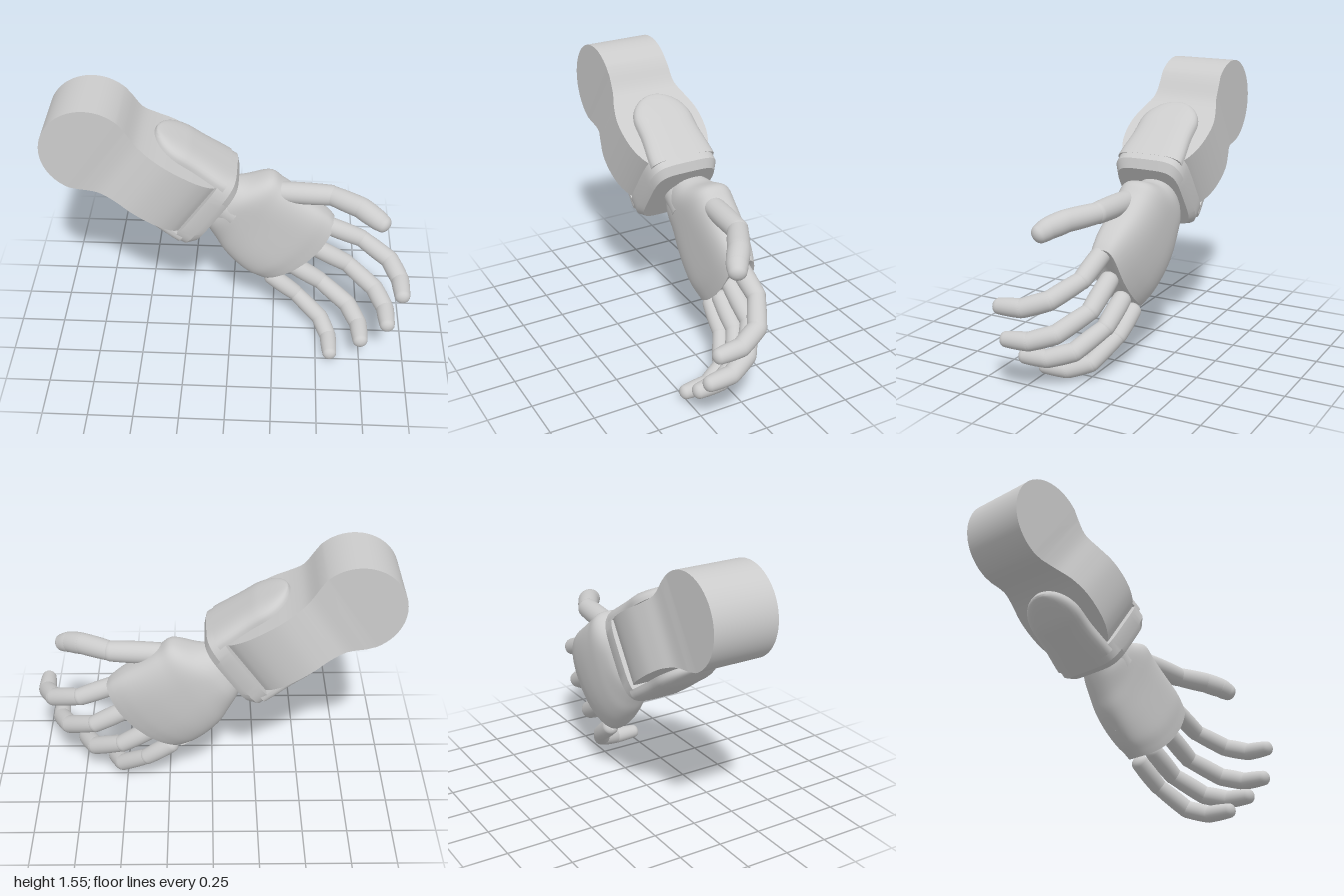
import * as THREE from 'three';
import { toCreasedNormals } from 'three/addons/utils/BufferGeometryUtils.js';

const V = (x, y, z) => new THREE.Vector3(x, y, z);

// Smoothly resample rows of numbers, column by column
function resample(rows, n) {
  const curves = rows[0].map((_, c) =>
    new THREE.SplineCurve(rows.map((r, i) => new THREE.Vector2(i, r[c]))));
  return Array.from({ length: n + 1 }, (_, i) => curves.map((k) => k.getPoint(i / n).y));
}

// Skin closed rings laid along +x and cap both ends
function loft(rings, crease) {
  const m = rings[0].length, pos = [], idx = [];
  rings.forEach((r) => r.forEach((p) => pos.push(p.x, p.y, p.z)));
  for (let i = 0; i < rings.length - 1; i++) {
    for (let j = 0; j < m; j++) {
      const a = i * m + j, b = i * m + (j + 1) % m;
      idx.push(a, b, a + m, b, b + m, a + m);
    }
  }
  [0, rings.length - 1].forEach((r, end) => {
    const c = rings[r].reduce((s, p) => s.add(p), V(0, 0, 0)).divideScalar(m);
    const k = pos.length / 3;
    pos.push(c.x, c.y, c.z);
    for (let j = 0; j < m; j++) {
      const a = r * m + j, b = r * m + (j + 1) % m;
      idx.push(k, end ? a : b, end ? b : a);
    }
  });
  const g = new THREE.BufferGeometry();
  g.setAttribute('position', new THREE.Float32BufferAttribute(pos, 3));
  g.setIndex(idx);
  return toCreasedNormals(g, crease);
}

// Rectangular ring: low and high y, middle and half depth in z
const rectRing = (u, lo, hi, zc, h) =>
  [V(u, hi, zc - h), V(u, hi, zc + h), V(u, lo, zc + h), V(u, lo, zc - h)];

// Ring with a flat inner face and a crowned outer face, on either side of y = mid
function crownRing(u, mid, side, inner, outer, zc, h) {
  const ring = [];
  for (let i = 0; i <= 16; i++) {
    const s = -Math.cos((i / 16) * Math.PI);
    const crown = 0.25 + 0.75 * Math.sqrt(1 - s ** 4);
    ring.push(V(u, mid + side * (inner + (outer - inner) * crown), zc + s * h));
  }
  ring.push(V(u, mid + side * inner, zc + h), V(u, mid + side * inner, zc - h));
  return side > 0 ? ring : ring.reverse();
}

// Rounded ring (superellipse) between y and z limits
function roundRing(u, lo, hi, back, front, power, n = 56) {
  return Array.from({ length: n }, (_, i) => {
    const a = (i / n) * Math.PI * 2, c = Math.cos(a), s = Math.sin(a);
    const f = (q) => Math.sign(q) * Math.pow(Math.abs(q), 2 / power);
    return V(u, (lo + hi) / 2 + f(c) * (hi - lo) / 2, (back + front) / 2 + f(s) * (front - back) / 2);
  });
}

export function createModel() {
  const model = new THREE.Group();
  const mat = new THREE.MeshStandardMaterial({ color: 0xcccccc });
  const add = (parent, name, geo) => {
    const mesh = new THREE.Mesh(geo, mat);
    mesh.name = name;
    parent.add(mesh);
    return mesh;
  };

  // Arm frame: origin at the elbow drum, x runs along the arm
  const arm = new THREE.Group();
  arm.name = 'arm';
  arm.position.set(-0.75, 1.31, 0);
  arm.rotation.z = -0.607;
  model.add(arm);

  // Forearm: round drum that necks in, then swells sideways
  const foreRings = [];
  for (let i = 0; i <= 24; i++) {
    const a = Math.PI - (i / 24) * (Math.PI - 1.4);
    const v = Math.max(0.002, 0.25 * Math.sin(a));
    foreRings.push(rectRing(0.25 * Math.cos(a), -v, v, -0.062, 0.185));
  }
  resample([
    [0.09, -0.227, 0.23, 0.186], [0.18, -0.18, 0.195, 0.193], [0.27, -0.155, 0.19, 0.222],
    [0.37, -0.15, 0.197, 0.246], [0.47, -0.15, 0.203, 0.248], [0.56, -0.15, 0.206, 0.235],
    [0.63, -0.15, 0.207, 0.208], [0.67, -0.148, 0.205, 0.18],
  ], 28).forEach(([u, lo, hi, h]) => foreRings.push(rectRing(u, lo, hi, -0.066, h)));
  add(arm, 'forearm', loft(foreRings, 0.6));

  // Wrist fork: two round-tipped, crowned arms joined by a bevelled plate
  for (const side of [1, -1]) {
    const rings = [];
    for (let i = 0; i <= 28; i++) {
      const u = 0.265 + (i / 28) ** 2 * 0.45;
      const k = Math.min(1, (u - 0.265) / 0.18);
      const h = Math.max(0.004, 0.172 * Math.sqrt(1 - (1 - k) ** 2))
        + 0.02 * THREE.MathUtils.smoothstep(u, 0.5, 0.72);
      rings.push(crownRing(u, 0.025, side, 0.192, 0.213 + 0.047 * Math.sqrt(k), -0.07, h));
    }
    add(arm, side > 0 ? 'upperForkArm' : 'lowerForkArm', loft(rings, 0.6));
  }
  add(arm, 'forkPlate', loft([
    [0.677, 0], [0.755, 0], [0.795, 0.04],
  ].map(([u, d]) => roundRing(u, -0.235 + d, 0.285 - d, -0.275 + d * 0.5, 0.135 - d * 0.5, 4.5)), 0.5));

  // Wrist joint
  const wrist = add(arm, 'wristJoint', new THREE.CylinderGeometry(0.115, 0.115, 0.16, 40));
  wrist.rotation.z = Math.PI / 2;
  wrist.position.set(0.83, 0.03, -0.1);

  // Hand: fans out from the wrist, arched across and bowed at the knuckles
  const hand = resample([
    // t, low edge, high edge, back z, palm z
    [0, -0.12, 0.18, -0.225, 0.0], [0.1, -0.155, 0.225, -0.25, 0.02], [0.25, -0.2, 0.328, -0.26, 0.025],
    [0.4, -0.24, 0.33, -0.258, 0.025], [0.6, -0.27, 0.325, -0.247, 0.022],
    [0.8, -0.288, 0.325, -0.225, 0.012], [0.93, -0.288, 0.317, -0.202, -0.005], [1, -0.284, 0.305, -0.187, -0.015],
  ], 36).map(([t, lo, hi, back, front]) => roundRing(0, lo, hi, back, front, 2.4 + 1.2 * t).map((p) => {
    const end = 1.44 - 0.8 * (p.y - 0.1) ** 2;
    p.x = 0.8 + t * (end - 0.8);
    const across = (p.y - 0.06) / 0.33;
    // slightly hollow palm and thinner little-finger edge
    if (p.z > (back + front) / 2) p.z -= 0.025 * Math.sin(Math.PI * t) * Math.max(0, 1 - across * across);
    if (across < 0) p.z += 0.025 * t * across * across * (p.z > -0.11 ? -1 : 1);
    return p;
  }));
  add(arm, 'hand', loft(hand, 0.75));

  // One digit segment: a lathed, round-ended rod from a to b
  const segment = (parent, name, a, b, ra, rb, bulge) => {
    const len = a.distanceTo(b), pts = [];
    for (let i = 0; i <= 6; i++) {
      const q = (i / 6) * Math.PI / 2;
      pts.push(new THREE.Vector2(ra * Math.sin(q), -ra * 0.8 * Math.cos(q)));
    }
    for (let i = 1; i < 8; i++) {
      const t = i / 8;
      pts.push(new THREE.Vector2(ra + (rb - ra) * t + bulge * Math.sin(Math.PI * t), len * t));
    }
    for (let i = 0; i <= 6; i++) {
      const q = (i / 6) * Math.PI / 2;
      pts.push(new THREE.Vector2(rb * Math.cos(q), len + rb * 0.8 * Math.sin(q)));
    }
    const mesh = add(parent, name, new THREE.LatheGeometry(pts, 24));
    mesh.position.copy(a);
    mesh.quaternion.setFromUnitVectors(V(0, 1, 0), b.clone().sub(a).normalize());
  };

  // Fingers and thumb: knuckle, two joints, pad, tip, and radius
  const digits = {
    indexFinger: [[0.51, 0.735, -0.085], [0.735, 0.64, -0.08], [0.895, 0.567, 0.015], [0.95, 0.525, 0.14], [0.955, 0.517, 0.268], 0.051],
    middleFinger: [[0.47, 0.56, -0.09], [0.665, 0.45, -0.085], [0.825, 0.36, 0.025], [0.882, 0.32, 0.15], [0.888, 0.312, 0.28], 0.051],
    ringFinger: [[0.35, 0.415, -0.1], [0.515, 0.31, -0.09], [0.68, 0.215, 0.005], [0.74, 0.177, 0.13], [0.748, 0.17, 0.262], 0.051],
    littleFinger: [[0.235, 0.315, -0.105], [0.375, 0.21, -0.088], [0.525, 0.095, -0.005], [0.573, 0.053, 0.11], [0.58, 0.048, 0.248], 0.048],
    thumb: [[0.28, 0.94, -0.09], [0.55, 0.942, -0.07], [0.71, 0.93, 0.02], [0.785, 0.905, 0.075], [0.83, 0.883, 0.1], 0.059],
  };
  for (const [name, d] of Object.entries(digits)) {
    const digit = new THREE.Group();
    digit.name = name;
    model.add(digit);
    const p = d.slice(0, 5).map((c) => V(...c)), r = d[5];
    segment(digit, 'baseSegment', p[0], p[1], r, r * 0.97, 0.003);
    segment(digit, 'middleSegment', p[1], p[2], r * 0.92, r, 0.002);
    segment(digit, 'padSegment', p[2], p[3], r, r * 0.97, 0.002);
    segment(digit, 'tipSegment', p[3], p[4], r * 0.97, r * 0.83, 0.002);
  }
  return model;
}
